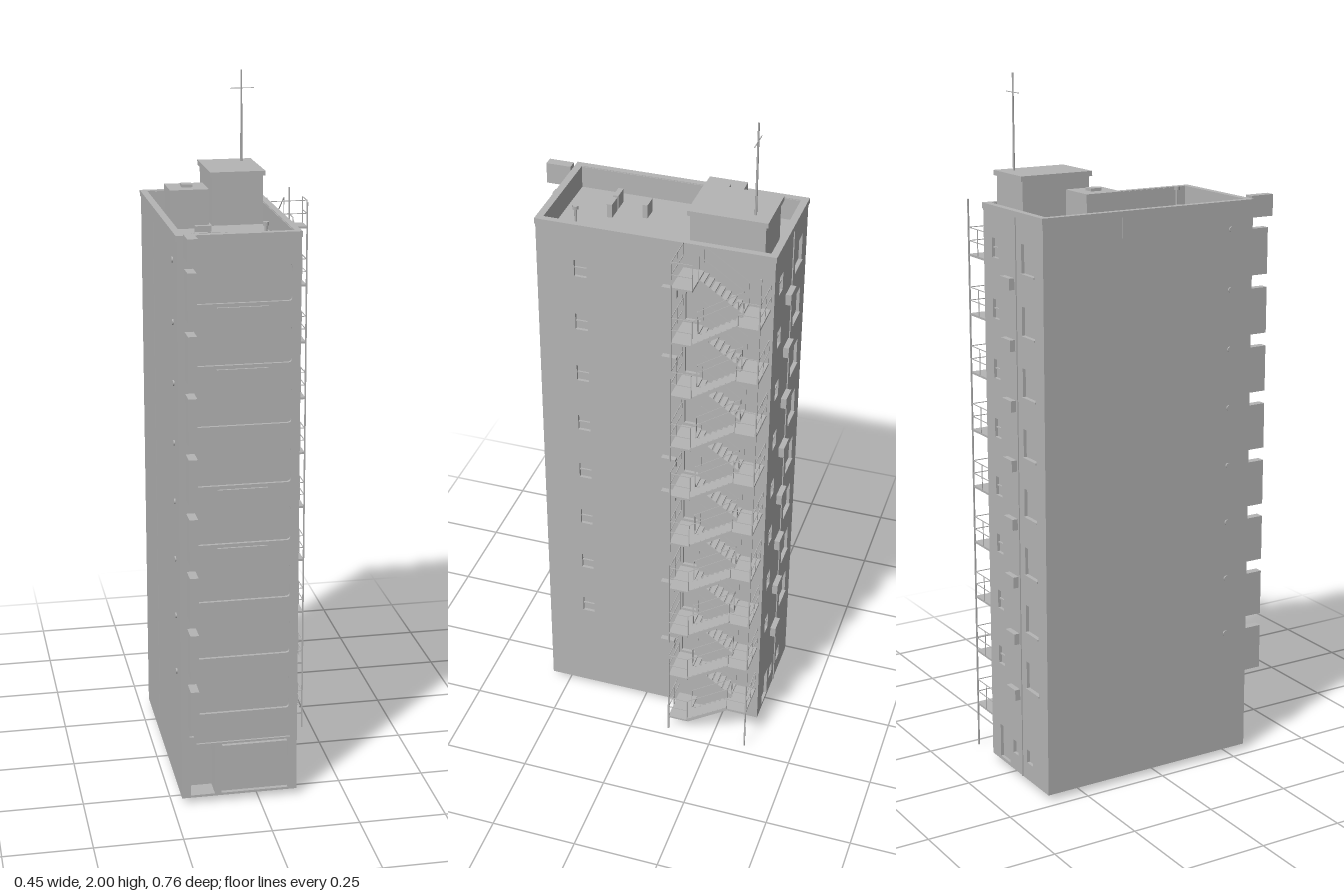
import * as THREE from 'three';

const grey = new THREE.MeshStandardMaterial({ color: 0xb5b5b5 });
grey.name = 'concreteGrey';

const FLOORS = 8, STEP = 0.1695;
const X0 = -0.222, X1 = 0.111, Z0 = -0.362, Z1 = 0.304;
const BASE = 0.018, TOP = 1.648, ROOF = 1.585, T = 0.018;
const floors = [...Array(FLOORS).keys()];

function add(parent, name, geometry) {
  const mesh = new THREE.Mesh(geometry, grey);
  mesh.name = name;
  parent.add(mesh);
  return mesh;
}

// Box given by its limits on each axis
function box(parent, name, x0, x1, y0, y1, z0, z1) {
  const m = add(parent, name, new THREE.BoxGeometry(x1 - x0, y1 - y0, z1 - z0));
  m.position.set((x0 + x1) / 2, (y0 + y1) / 2, (z0 + z1) / 2);
  return m;
}

// Square bar between two points
function bar(parent, name, a, b, w = 0.002, h = w) {
  const p = new THREE.Vector3(...a), q = new THREE.Vector3(...b);
  const m = add(parent, name, new THREE.BoxGeometry(w, h, p.distanceTo(q)));
  m.position.copy(p).add(q).multiplyScalar(0.5);
  m.lookAt(q);
  return m;
}

function rect(target, u0, u1, v0, v1, r = 0) {
  if (!r) {
    target.moveTo(u0, v0); target.lineTo(u1, v0);
    target.lineTo(u1, v1); target.lineTo(u0, v1);
  } else {
    target.moveTo(u0 + r, v0);
    target.lineTo(u1 - r, v0); target.quadraticCurveTo(u1, v0, u1, v0 + r);
    target.lineTo(u1, v1 - r); target.quadraticCurveTo(u1, v1, u1 - r, v1);
    target.lineTo(u0 + r, v1); target.quadraticCurveTo(u0, v1, u0, v1 - r);
    target.lineTo(u0, v0 + r); target.quadraticCurveTo(u0, v0, u0 + r, v0);
  }
  target.closePath();
  return target;
}

function slab(parent, name, u0, u1, v0, v1, openings, depth) {
  const shape = rect(new THREE.Shape(), u0, u1, v0, v1);
  for (const o of openings) shape.holes.push(rect(new THREE.Path(), o.u0, o.u1, o.v0, o.v1, o.r));
  const g = new THREE.ExtrudeGeometry(shape, { depth, bevelEnabled: false, curveSegments: 4 });
  return add(parent, name, g.translate(0, 0, -depth));
}

// Wall in its own frame: u to the right, v up, outer face at z = 0
function wall(parent, name, u0, u1, openings, x, z, turn) {
  const g = new THREE.Group();
  g.name = name;
  g.position.set(x, 0, z);
  g.rotation.y = turn;
  parent.add(g);
  slab(g, name + 'Panel', u0, u1, BASE, TOP, openings, T);
  for (const o of openings) {
    const d = o.d || 0.009;
    if (d > T) slab(g, 'entranceRecess', o.u0 - 0.004, o.u1 + 0.004, o.v0 - 0.004, o.v1 + 0.004, [o], d).position.z = -0.002;
    box(g, 'pane', o.u0 - 0.003, o.u1 + 0.003, o.v0 - 0.003, o.v1 + 0.003, -d - 0.006, -d);
  }
  return g;
}

const opening = (u, v, w, h, extra = {}) =>
  ({ u0: u - w / 2, u1: u + w / 2, v0: v - h / 2, v1: v + h / 2, ...extra });

function buildFront(root) {
  const holes = floors.map(i => opening(-0.05, 0.327 + STEP * i, 0.274, 0.1, { r: 0.01 }));
  holes.push({ u0: -0.197, u1: -0.127, v0: 0.025, v1: 0.18, d: 0.06 });
  holes.push({ u0: -0.108, u1: 0.085, v0: 0.025, v1: 0.168, d: 0.012 });
  const g = wall(root, 'frontWall', X0, X1, holes, 0, Z1, 0);
  // Planter boxes, shop canopy and lamp
  for (const i of [3, 4, 6, 7]) box(g, 'ledgeBox', -0.118, 0.022, 0.247 + STEP * i, 0.267 + STEP * i, 0, 0.006);
  box(g, 'canopyStrip', -0.18, 0.09, 0.182, 0.188, 0, 0.006);
  box(g, 'shopCanopy', -0.107, 0.08, 0.168, 0.18, 0, 0.013);
  box(g, 'entranceLamp', -0.2, -0.188, 0.165, 0.212, 0, 0.008);
  // Projecting blank sign boxes down the left edge
  for (const i of floors) {
    const y = 0.245 + STEP * i;
    box(g, 'signBox', -0.205, -0.181, y, y + 0.132, 0.01, 0.064);
    for (const v of [0.015, 0.112]) box(g, 'signBracket', -0.196, -0.19, y + v, y + v + 0.006, 0, 0.012);
  }
  box(g, 'topSignBox', -0.207, -0.179, 1.595, 1.656, 0.006, 0.078);
}

function buildRight(root) {
  const holes = floors.map(i => opening(-0.179, 0.328 + STEP * i, 0.036, 0.05));
  for (const i of floors) holes.push(opening(0.14, 0.277 + STEP * i, 0.042, 0.1));
  const g = wall(root, 'rightWall', -Z1 + T, -Z0 - T, holes, X1, 0, Math.PI / 2);
  for (const i of floors) box(g, 'windowBar', -0.197, -0.161, 0.326 + STEP * i, 0.33 + STEP * i, -0.009, -0.004);
  for (const y of [0.255, 0.48, 0.817, 0.935, 1.278, 1.498]) box(g, 'airConditioner', 0.056, 0.098, y - 0.015, y + 0.015, 0, 0.016);
  box(g, 'wallSeam', 0.108, 0.111, BASE, TOP, 0, 0.001);
}

function buildBack(root) {
  const holes = [];
  for (const i of floors) {
    holes.push(opening(-0.045, 0.347 + STEP * i, 0.036, 0.054));
    holes.push(opening(0.138, 0.34 + STEP * i, 0.07, 0.08));
  }
  holes.push(opening(-0.033, 0.078, 0.056, 0.1), opening(0.032, 0.09, 0.03, 0.04), opening(0.115, 0.09, 0.034, 0.04));
  const g = wall(root, 'backWall', -X1, -X0, holes, 0, Z0, Math.PI);
  for (const i of floors) {
    const y = 0.265 + STEP * i;
    box(g, 'airConditioner', 0.01, 0.062, y - 0.016, y + 0.016, 0, 0.016);
    box(g, 'windowBar', -0.063, -0.027, 0.345 + STEP * i, 0.349 + STEP * i, -0.009, -0.004);
    box(g, 'windowSill', 0.102, 0.174, 0.295 + STEP * i, 0.3 + STEP * i, 0, 0.003);
  }
  box(g, 'drainPipe', 0.07, 0.075, BASE, TOP, 0, 0.003);
}

function buildLeft(root) {
  const g = wall(root, 'leftWall', Z0 + T, Z1 - T, [], X0, 0, -Math.PI / 2);
  for (const i of floors) {
    const vent = add(g, 'wallVent', new THREE.CylinderGeometry(0.008, 0.008, 0.004, 10));
    vent.rotation.x = Math.PI / 2;
    vent.position.set(0.232, 0.385 + STEP * i, 0.002);
  }
  box(g, 'wallSeam', -0.121, -0.118, BASE, TOP, 0, 0.001);
}

function buildRoof(root) {
  const g = new THREE.Group();
  g.name = 'roof';
  root.add(g);
  box(g, 'roofDeck', X0 + 0.005, X1 - 0.005, ROOF - 0.01, ROOF, Z0 + 0.005, Z1 - 0.005);
  // Parapet cap, slightly wider than the walls
  const cap = slab(g, 'parapetCap', X0 - 0.003, X1 + 0.002, -Z1 - 0.002, -Z0 + 0.003,
    [{ u0: -0.206, u1: 0.095, v0: -0.286, v1: 0.345 }], 0.016);
  cap.rotation.x = -Math.PI / 2;
  cap.position.y = 1.65;
  // Stair house with overhanging lid
  box(g, 'stairHouse', -0.053, 0.093, ROOF, 1.725, -0.328, -0.123);
  box(g, 'stairHouseLid', -0.059, 0.099, 1.724, 1.738, -0.335, -0.116);
  // Water tank with hatch
  box(g, 'waterTank', -0.177, -0.067, ROOF, 1.695, -0.203, -0.095);
  box(g, 'tankHatch', -0.137, -0.107, 1.694, 1.703, -0.166, -0.134);
  for (const [x, z] of [[-0.111, 0.062], [-0.137, 0.155], [-0.084, 0.155]])
    box(g, 'roofUnit', x - 0.022, x + 0.022, ROOF, ROOF + 0.04, z - 0.0075, z + 0.0075);
  // Vent pipe with hexagonal cap
  const pipe = add(g, 'ventPipe', new THREE.CylinderGeometry(0.004, 0.004, 0.07, 6));
  pipe.position.set(0.032, 1.62, 0.218);
  const hood = add(g, 'ventCap', new THREE.CylinderGeometry(0.009, 0.009, 0.01, 6));
  hood.position.set(0.032, 1.656, 0.218);
  // Antenna
  const mast = add(g, 'antennaMast', new THREE.CylinderGeometry(0.0025, 0.0035, 0.264, 6));
  mast.position.set(0.063, 1.868, -0.291);
  bar(g, 'antennaArm', [0.03, 1.948, -0.291], [0.1, 1.948, -0.291], 0.002);
}

function buildFireEscape(root) {
  const g = new THREE.Group();
  g.name = 'fireEscape';
  root.add(g);
  const IN = 0.112, OUT = 0.22, ZA = -0.112, ZA2 = -0.17, ZB2 = -0.294, ZB = -0.353, RAIL = 0.075;

  // Landing with railing around its open sides
  function landing(y, zOuter, zInner) {
    box(g, 'landing', IN, OUT, y - 0.006, y, Math.min(zOuter, zInner), Math.max(zOuter, zInner));
    const path = [[IN + 0.002, zOuter], [OUT - 0.001, zOuter], [OUT - 0.001, zInner]];
    for (const h of [RAIL, RAIL / 2])
      for (let k = 0; k < 2; k++)
        bar(g, 'landingRail', [path[k][0], y + h, path[k][1]], [path[k + 1][0], y + h, path[k + 1][1]]);
    for (const [x, z] of [...path, [0.166, zOuter]]) bar(g, 'railPost', [x, y, z], [x, y + RAIL, z]);
  }

  // Flight of open treads with stringers and handrails
  function flight(x0, x1, yLow, zLow, yHigh, zHigh) {
    const n = 8, dy = (yHigh - yLow) / n, dz = (zHigh - zLow) / n;
    for (let k = 0; k < n; k++) {
      const z = zLow + dz * (k + 0.5), y = yLow + dy * (k + 0.5);
      box(g, 'tread', x0, x1, y - 0.002, y + 0.002, z - 0.007, z + 0.007);
    }
    for (const x of [x0, x1]) {
      bar(g, 'stringer', [x, yLow - 0.003, zLow], [x, yHigh - 0.003, zHigh], 0.002, 0.01);
      bar(g, 'handrail', [x, yLow + RAIL, zLow], [x, yHigh + RAIL, zHigh]);
      for (const [y, z] of [[yLow, zLow], [yHigh, zHigh]]) bar(g, 'railPost', [x, y, z], [x, y + RAIL, z]);
    }
  }

  for (let i = 0; i <= FLOORS + 1; i++) {
    const y = 0.05 + STEP * i, mid = y + STEP / 2;
    landing(y, ZA, ZA2);
    if (i > FLOORS) break;
    landing(mid, ZB, ZB2);
    flight(0.169, 0.218, y, ZA2, mid, ZB2);
    flight(0.115, 0.164, mid, ZB2, y + STEP, ZA2);
  }
  // Full-height corner posts
  for (const z of [ZA, ZB]) bar(g, 'cornerPost', [OUT, 0, z], [OUT, 1.645, z], 0.004);
}

export function createModel() {
  const root = new THREE.Group();
  root.name = 'towerBlock';
  buildFront(root);
  buildRight(root);
  buildBack(root);
  buildLeft(root);
  buildRoof(root);
  buildFireEscape(root);
  return root;
}
